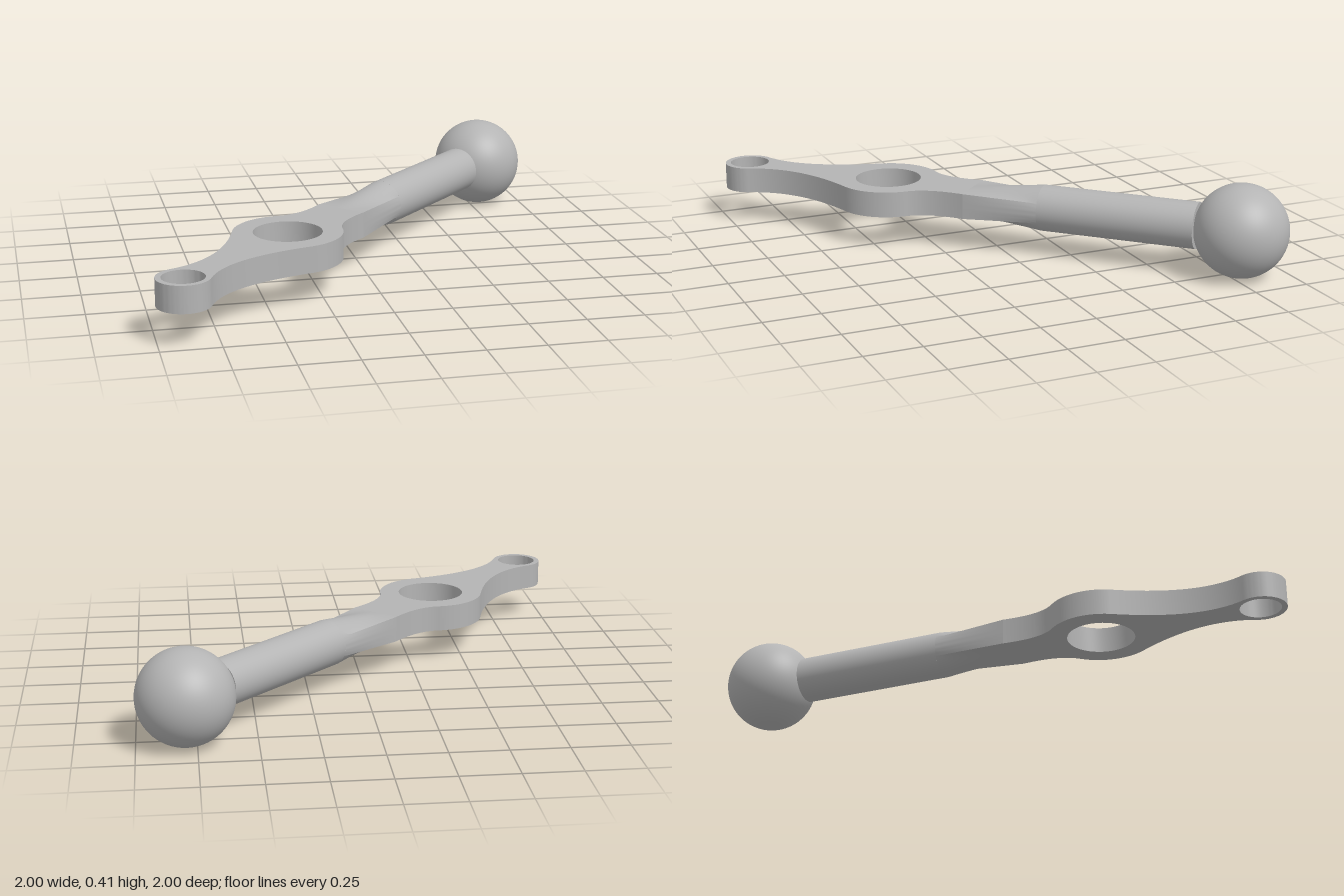
import * as THREE from 'three';
import { toCreasedNormals } from 'three/addons/utils/BufferGeometryUtils.js';

// Local frame: the lever runs along x, is mirrored about z = 0, and is turned 45 degrees at the end.
const MID_Y = 0.206;
const HALF_THICK = 0.058;
const NECK_X = -0.118, NECK_HALF = 0.118;
const ROD_START = 0.223, ROD_END = 0.932, ROD_R = 0.103;
const HUB = { x: -0.534, r: 0.237, hole: 0.149 };
const EYE = { x: -1.253, r: 0.113, hole: 0.089 };
const BALL = { x: 1.123, r: 0.206 };

// Flat plate with a hub ring, an end eye and waisted sides between them
function plateGeometry() {
  const rad = THREE.MathUtils.degToRad;
  const a1 = rad(46), a2 = rad(122), b = rad(64);
  const on = (c, a) => [c.x + c.r * Math.cos(a), c.r * Math.sin(a)];
  const shape = new THREE.Shape();
  shape.moveTo(NECK_X, -NECK_HALF);
  shape.lineTo(NECK_X, NECK_HALF);
  shape.quadraticCurveTo(-0.295, 0.1, ...on(HUB, a1));
  shape.absarc(HUB.x, 0, HUB.r, a1, a2, false);
  shape.quadraticCurveTo(-0.984, 0.004, ...on(EYE, b));
  shape.absarc(EYE.x, 0, EYE.r, b, 2 * Math.PI - b, false);
  shape.quadraticCurveTo(-0.984, -0.004, ...on(HUB, -a2));
  shape.absarc(HUB.x, 0, HUB.r, -a2, -a1, false);
  shape.quadraticCurveTo(-0.295, -0.1, NECK_X, -NECK_HALF);
  for (const c of [HUB, EYE]) {
    const hole = new THREE.Path();
    hole.absarc(c.x, 0, c.hole, 0, Math.PI * 2, true);
    shape.holes.push(hole);
  }
  const g = new THREE.ExtrudeGeometry(shape, {
    depth: 2 * HALF_THICK, bevelEnabled: false, curveSegments: 32,
  });
  g.translate(0, 0, -HALF_THICK);
  g.rotateX(-Math.PI / 2);
  return toCreasedNormals(g, 0.6);
}

// Transition from the rectangular neck to the round rod
function neckGeometry() {
  const corner = Math.atan2(HALF_THICK, NECK_HALF);
  const stops = [-corner, corner, Math.PI - corner, Math.PI + corner, 2 * Math.PI - corner];
  const angles = [];
  for (let k = 0; k < 4; k++) {
    for (let i = 0; i < 14; i++) angles.push(THREE.MathUtils.lerp(stops[k], stops[k + 1], i / 14));
  }
  const rows = 8, n = angles.length;
  const pos = [], index = [];
  for (let r = 0; r <= rows; r++) {
    const t = r / rows;
    for (const a of angles) {
      const c = Math.cos(a), s = Math.sin(a);
      const rect = Math.min(NECK_HALF / Math.abs(c), HALF_THICK / Math.abs(s));
      const d = THREE.MathUtils.lerp(rect, ROD_R, t);
      pos.push(THREE.MathUtils.lerp(NECK_X, ROD_START, t), d * s, d * c);
    }
  }
  for (let r = 0; r < rows; r++) {
    for (let i = 0; i < n; i++) {
      const j = (i + 1) % n;
      const p = r * n + i, q = r * n + j;
      index.push(p, p + n, q, q, p + n, q + n);
    }
  }
  const g = new THREE.BufferGeometry();
  g.setAttribute('position', new THREE.Float32BufferAttribute(pos, 3));
  g.setIndex(index);
  return toCreasedNormals(g, 0.35);
}

export function createModel() {
  const metal = new THREE.MeshStandardMaterial({ color: 0xb4b4b4 });
  metal.name = 'grey metal';
  const neckMetal = metal.clone();
  neckMetal.side = THREE.DoubleSide;

  const lever = new THREE.Group();
  lever.name = 'lever';
  const add = (name, geometry, material = metal) => {
    const mesh = new THREE.Mesh(geometry, material);
    mesh.name = name;
    lever.add(mesh);
  };

  add('plate', plateGeometry());
  add('neck', neckGeometry(), neckMetal);

  // Round handle rod
  const rod = new THREE.CylinderGeometry(ROD_R, ROD_R, ROD_END - ROD_START, 56);
  rod.rotateZ(-Math.PI / 2);
  rod.translate((ROD_START + ROD_END) / 2, 0, 0);
  add('rod', rod);

  // Ball grip
  const ball = new THREE.SphereGeometry(BALL.r, 64, 40);
  ball.translate(BALL.x, 0, 0);
  add('ballGrip', ball);

  lever.position.y = MID_Y;
  lever.rotation.y = Math.PI / 4;

  const model = new THREE.Group();
  model.name = 'ballLever';
  model.add(lever);
  return model;
}
